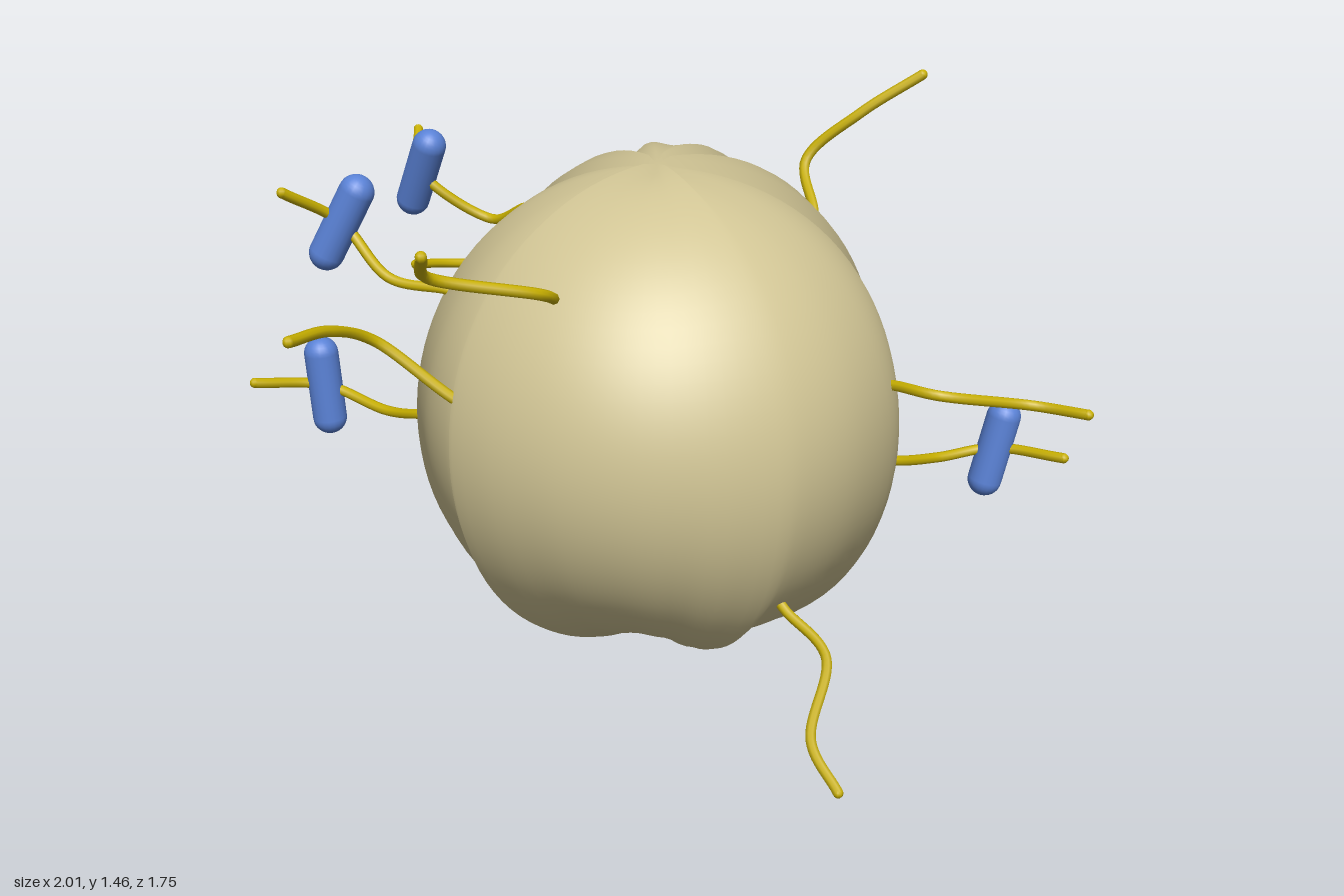
import * as THREE from 'three';

const mat = (name, color) => {
  const m = new THREE.MeshStandardMaterial({ color });
  m.name = name;
  return m;
};
const V = (p) => new THREE.Vector3(...p);
const CENTRE = [0, 0.735, 0.12];
const CAPSULE_LENGTH = 0.17;

// Lobed outline: [degrees away from the front, radius], mirrored left and right
const OUTLINE = [[0, 0.535], [15, 0.545], [27, 0.575], [36, 0.59], [48, 0.545], [65, 0.55], [81, 0.572],
  [102, 0.568], [115, 0.55], [126, 0.59], [137, 0.6], [152, 0.562], [164, 0.608], [180, 0.593]];

function lobeRadius(deg) {
  let i = 0;
  while (i < OUTLINE.length - 2 && deg > OUTLINE[i + 1][0]) i++;
  const [a, ra] = OUTLINE[i], [b, rb] = OUTLINE[i + 1];
  return ra + (rb - ra) * THREE.MathUtils.smoothstep(deg, a, b);
}

// Sphere pushed in and out into lobes that meet at the poles; it keeps the round sphere's soft normals
function bodyGeometry() {
  const g = new THREE.SphereGeometry(1, 96, 48);
  const p = g.attributes.position;
  for (let i = 0; i < p.count; i++) {
    const v = new THREE.Vector3().fromBufferAttribute(p, i);
    const flat = Math.hypot(v.x, v.z);
    const azimuth = Math.atan2(Math.abs(v.x), v.z);
    const slope = 2 * flat * v.y;
    let r = flat < 1e-4 ? 0.575 : lobeRadius(THREE.MathUtils.radToDeg(azimuth));
    r = THREE.MathUtils.lerp(r, 0.59, 0.45 * Math.abs(v.y) ** 3);
    // front and back swell above the middle, the sides below it
    r += 0.012 * slope * slope + 0.02 * slope * Math.cos(2 * azimuth);
    v.multiplyScalar(r);
    p.setXYZ(i, v.x, v.y, v.z);
  }
  return g;
}

// Bare filaments: root, two bends, tip
const BARE = [
  [[0.33, 1.14, -0.12], [0.295, 1.25, -0.235], [0.42, 1.365, -0.262], [0.56, 1.455, -0.3]],
  [[0.54, 0.84, 0.16], [0.66, 0.85, 0.23], [0.87, 0.8, 0.125], [0.99, 0.81, 0.18]],
  [[0.35, 0.37, 0.4], [0.45, 0.27, 0.42], [0.435, 0.12, 0.54], [0.505, 0.03, 0.595]],
  [[-0.15, 0.355, -0.32], [-0.23, 0.22, -0.435], [-0.295, 0.09, -0.46], [-0.29, 0.015, -0.516]],
  [[-0.1, 0.355, -0.31], [-0.11, 0.305, -0.53], [-0.02, 0.24, -0.655], [0, 0.16, -0.707]],
  [[-0.2, 0.76, -0.42], [-0.34, 0.84, -0.51], [-0.405, 0.865, -0.65], [-0.395, 0.832, -0.805]],
  [[-0.47, 0.85, -0.22], [-0.51, 0.873, -0.39], [-0.69, 0.865, -0.43], [-0.8, 0.84, -0.475]],
  [[-0.34, 0.87, 0.53], [-0.54, 1.0, 0.523], [-0.59, 1.065, 0.65], [-0.62, 1.09, 0.79]],
  [[-0.15, 1.09, 0.46], [-0.135, 1.165, 0.62], [-0.33, 1.235, 0.76], [-0.305, 1.31, 0.86]],
];

// Filaments threaded through a capsule at their second bend; lean is the capsule's x and z offset
const THREADED = [
  { path: [[0.55, 0.59, 0.02], [0.66, 0.547, -0.115], [0.793, 0.558, -0.175], [0.96, 0.575, -0.105]], lean: [0.035, -0.015] },
  { path: [[-0.1, 0.71, -0.46], [-0.14, 0.67, -0.56], [-0.3, 0.7, -0.7], [-0.235, 0.745, -0.865]], lean: [0, -0.005] },
  { path: [[-0.55, 0.69, 0.19], [-0.68, 0.66, 0.12], [-0.855, 0.695, 0.073], [-0.99, 0.735, 0.187]], lean: [-0.01, 0] },
  { path: [[-0.465, 1.02, 0.225], [-0.62, 1.035, 0.205], [-0.75, 1.145, 0.15], [-0.84, 1.245, 0.27]], lean: [0.08, -0.01] },
  { path: [[-0.37, 1.12, -0.145], [-0.5, 1.06, -0.225], [-0.672, 1.178, -0.202], [-0.72, 1.255, -0.335]], lean: [0.065, 0.045] },
];

export function createModel() {
  const group = new THREE.Group();
  const tan = mat('tan', 0xd1c595);
  const yellow = mat('yellow', 0xc8b000);
  const blue = mat('blue', 0x5a82d6);
  const add = (name, geometry, material) => {
    const mesh = new THREE.Mesh(geometry, material);
    mesh.name = name;
    group.add(mesh);
    return mesh;
  };

  add('body', bodyGeometry(), tan).position.set(...CENTRE);

  // Each filament starts a little inside the body and ends in a round tip
  const addFilament = (name, path) => {
    const pts = path.map(V);
    pts.unshift(pts[0].clone().lerp(V(CENTRE), 0.1));
    const curve = new THREE.CatmullRomCurve3(pts);
    add(name, new THREE.TubeGeometry(curve, 40, 0.0125, 8), yellow);
    add(`${name}Tip`, new THREE.SphereGeometry(0.0125, 8, 6), yellow).position.copy(pts[pts.length - 1]);
  };

  BARE.forEach((path, i) => addFilament(`bareFilament${i + 1}`, path));

  THREADED.forEach(({ path, lean: [dx, dz] }, i) => {
    addFilament(`threadedFilament${i + 1}`, path);
    const dir = new THREE.Vector3(dx, Math.sqrt(CAPSULE_LENGTH ** 2 - dx * dx - dz * dz), dz).normalize();
    const capsule = add(`capsule${i + 1}`, new THREE.CapsuleGeometry(0.042, CAPSULE_LENGTH, 8, 20), blue);
    capsule.position.set(...path[2]);
    capsule.quaternion.setFromUnitVectors(new THREE.Vector3(0, 1, 0), dir);
  });

  return group;
}
